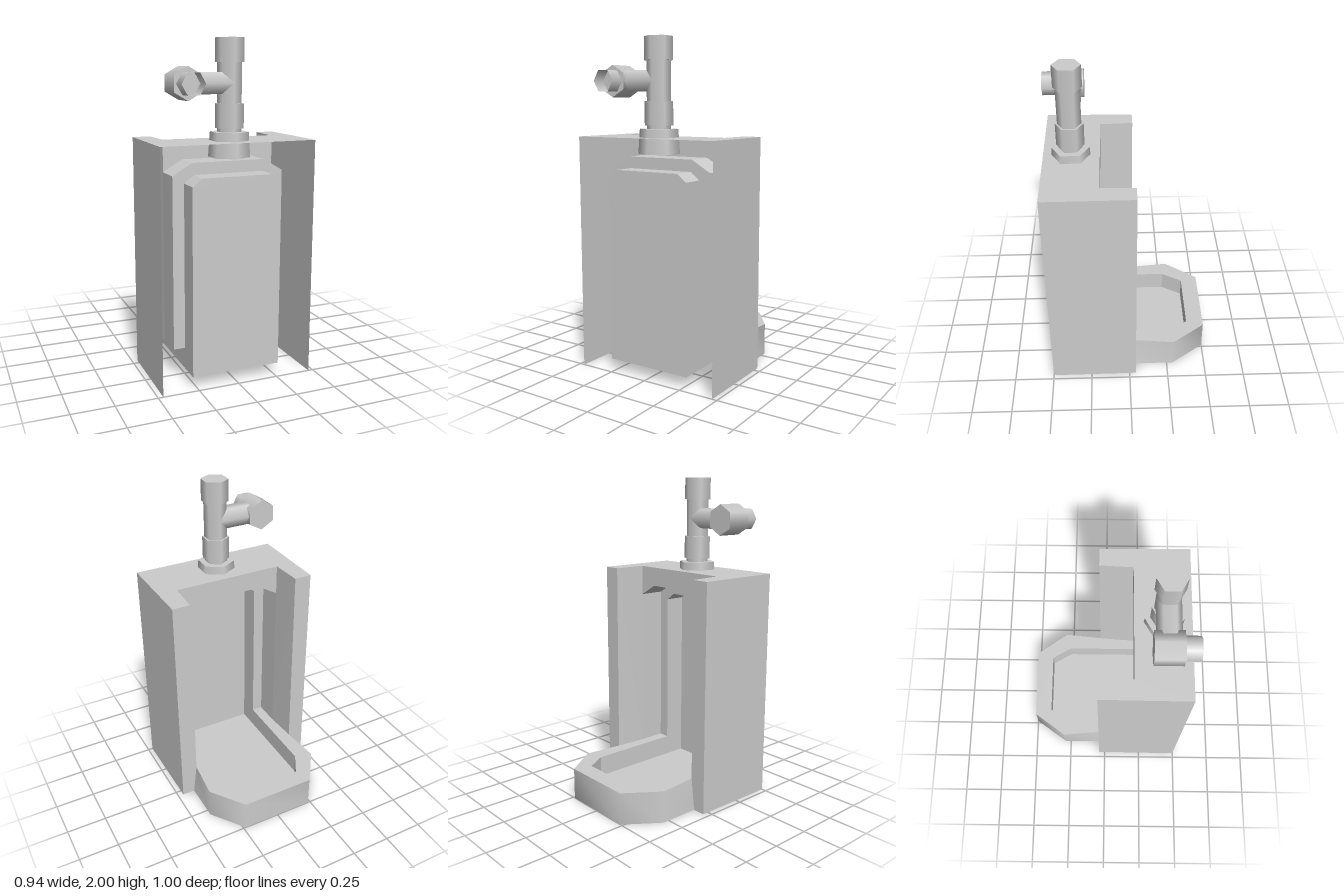
import * as THREE from 'three';

const ceramic = new THREE.MeshStandardMaterial({ color: 0xcccccc, side: THREE.DoubleSide });
ceramic.name = 'grey ceramic';

// Completes a half outline, listed from its +x end to the middle, with its mirror image
const mirror = (half) => [...half, ...half.slice().reverse().map(([x, ...rest]) => [-x, ...rest])];

export function createModel() {
  const model = new THREE.Group();

  const add = (name, geometry, x = 0, y = 0, z = 0) => {
    const mesh = new THREE.Mesh(geometry, ceramic);
    mesh.name = name;
    mesh.position.set(x, y, z);
    model.add(mesh);
    return mesh;
  };

  // Wall joining two matching rows of points, flat or smooth
  const wall = (name, a, b, smooth = false) => {
    const n = a.length;
    const index = [];
    for (let i = 0; i < n - 1; i++) index.push(i, i + 1, n + i, i + 1, n + i + 1, n + i);
    let g = new THREE.BufferGeometry();
    g.setAttribute('position', new THREE.Float32BufferAttribute([...a, ...b].flat(), 3));
    g.setIndex(index);
    if (!smooth) g = g.toNonIndexed();
    g.computeVertexNormals();
    return add(name, g);
  };

  // Flat panel from a 2D outline, placed in space by a rule
  const panel = (name, outline, place, hole) => {
    const shape = new THREE.Shape(outline.map(([u, v]) => new THREE.Vector2(u, v)));
    if (hole) shape.holes.push(new THREE.Path(hole.map(([u, v]) => new THREE.Vector2(u, v))));
    const g = new THREE.ShapeGeometry(shape);
    const p = g.attributes.position;
    for (let i = 0; i < p.count; i++) p.setXYZ(i, ...place(p.getX(i), p.getY(i)));
    g.computeVertexNormals();
    return add(name, g);
  };
  const upright = (z) => (x, y) => [x, y, z];
  const level = (y) => (x, z) => [x, y, z];
  const at = (points, place) => points.map(([u, v]) => place(u, v));

  const H = 1.425, RIM = 0.2, FLOOR = 0.07;
  const FRONT = -0.04, LINTEL = 0.165, STEP = 0.33, BACK = 0.465;

  // Cabinet: top, side walls, pillar faces and inner side walls
  panel('top', mirror([[0.47, 0.5], [0.465, FRONT], [0.355, FRONT], [0.345, LINTEL]]), level(H));
  for (const s of [1, -1]) {
    const side = s > 0 ? 'left' : 'right';
    wall(side + 'SideWall',
      [[s * 0.465, 0, FRONT], [s * 0.47, 0, 0.5]],
      [[s * 0.465, H, FRONT], [s * 0.47, H, 0.5]]);
    panel(side + 'Pillar',
      [[0.465, 0], [0.465, H], [0.355, H], [0.36, RIM], [0.385, 0]].map(([x, y]) => [s * x, y]),
      upright(FRONT));
    wall(side + 'InnerWall',
      [[s * 0.36, RIM, FRONT], [s * 0.345, RIM, LINTEL]],
      [[s * 0.355, H, FRONT], [s * 0.345, H, LINTEL]]);
  }

  // Stepped arched recess, open towards the basin
  const outerArch = mirror([[0.345, RIM], [0.345, 1.235], [0.225, 1.305]]);
  const innerArch = mirror([[0.275, RIM], [0.275, 1.19], [0.215, 1.235]]);
  panel('lintel', mirror([[0.345, H], [0.345, 1.235], [0.225, 1.305]]), upright(LINTEL));
  wall('outerArch', at(outerArch, upright(LINTEL)), at(outerArch, upright(STEP)));
  panel('archStep', [...outerArch, ...innerArch.slice().reverse()], upright(STEP));
  wall('innerArch', at(innerArch, upright(STEP)), at(innerArch, upright(BACK)));
  panel('recessBack', mirror([[0.275, FLOOR], [0.275, 1.19], [0.215, 1.235]]), upright(BACK));

  // Basin: outer skirt, rim, inner wall and floor
  const skirtBottom = mirror([[0.385, FRONT], [0.385, -0.29], [0.235, -0.5]]);
  const skirtTop = mirror([[0.36, FRONT], [0.385, -0.29], [0.235, -0.5]]);
  wall('basinSkirt', at(skirtBottom, level(0)), at(skirtTop, level(RIM)), true);
  const rimOuter = mirror([[0.345, STEP], [0.345, LINTEL], [0.36, FRONT], [0.385, -0.29], [0.235, -0.5]]);
  const rimInner = mirror([[0.275, STEP], [0.275, -0.26], [0.2, -0.39]]);
  panel('basinRim', [...rimOuter, ...rimInner.slice().reverse()], level(RIM));
  const bowl = mirror([[0.275, BACK], [0.275, -0.26], [0.2, -0.39]]);
  wall('basinInnerWall', at(bowl, level(FLOOR)), at(bowl, level(RIM)));
  panel('basinFloor', bowl, level(FLOOR));

  // Upright supply pipe: [name, bottom, top, bottom radius, top radius]
  const PZ = 0.335;
  const sections = [
    ['pipeFlange', 1.33, 1.475, 0.122, 0.112],
    ['pipeNeck', 1.475, 1.5, 0.07, 0.07],
    ['lowerSleeve', 1.495, 1.635, 0.083, 0.083],
    ['supplyPipe', 1.635, 1.87, 0.07, 0.07],
    ['upperSleeve', 1.865, 2, 0.083, 0.083],
  ];
  for (const [name, y0, y1, r0, r1] of sections) {
    add(name, new THREE.CylinderGeometry(r1, r0, y1 - y0, 6), 0, (y0 + y1) / 2, PZ);
  }

  // Side arm with the valve body and its open outlet
  const AY = 1.75, VX = -0.277;
  add('valveArm', new THREE.CylinderGeometry(0.07, 0.07, 0.22, 6).rotateZ(Math.PI / 2), -0.11, AY, PZ);
  add('valveBody', new THREE.CylinderGeometry(0.094, 0.094, 0.162, 6).rotateX(Math.PI / 2), VX, AY, 0.333);
  add('valveOutlet',
    new THREE.CylinderGeometry(0.07, 0.07, 0.09, 6, 1, true).rotateY(Math.PI / 2).rotateX(Math.PI / 2),
    VX, AY, 0.455);

  return model;
}
